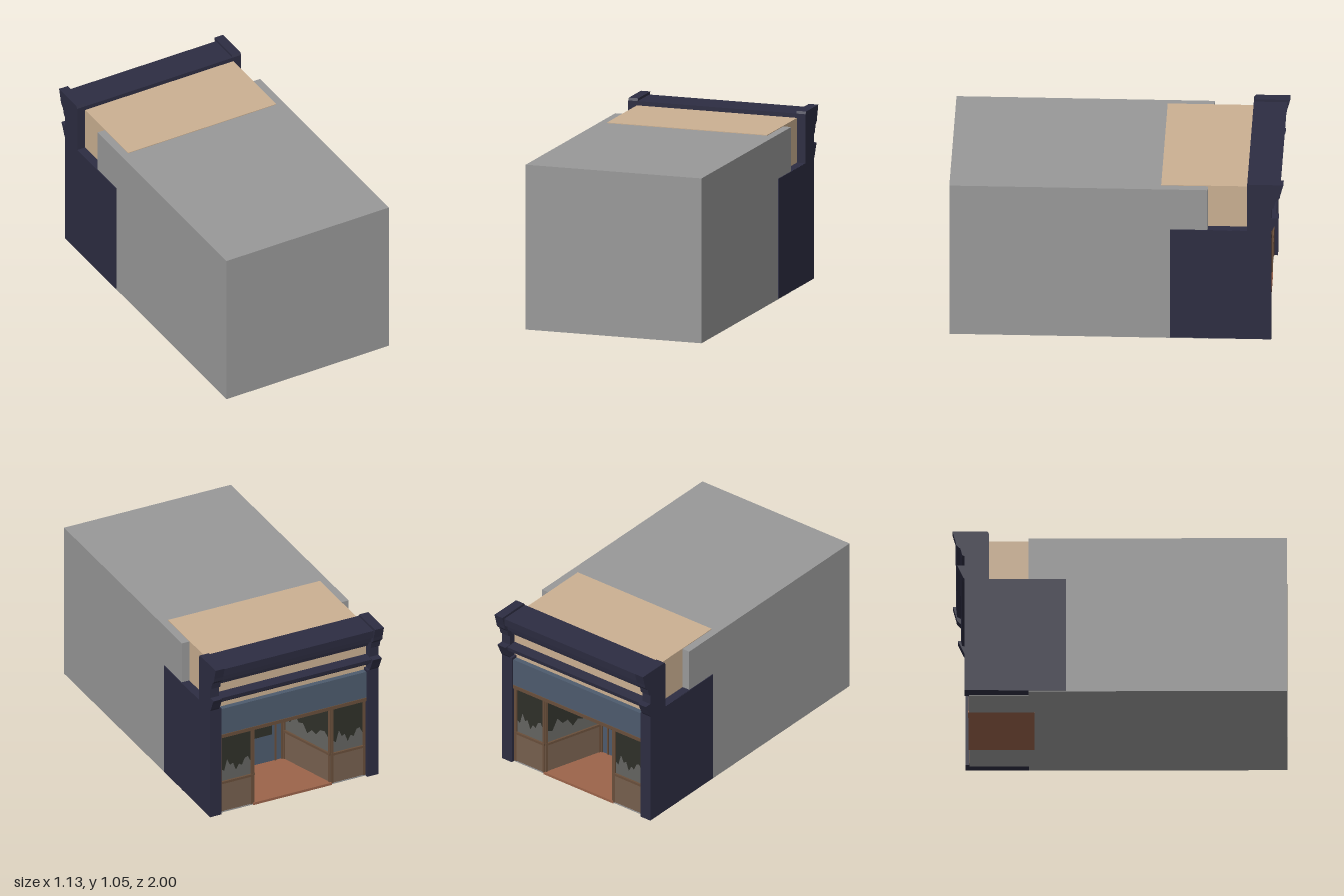
import * as THREE from 'three';

const mat = (name, color) => {
  const m = new THREE.MeshStandardMaterial({ color });
  m.name = name;
  return m;
};

export function createModel() {
  const root = new THREE.Group();
  root.name = 'shopBuilding';
  const grey = mat('bodyGrey', 0x999999);
  const navy = mat('navyPaint', 0x2d2d42);
  const cream = mat('creamRender', 0xcbb092);
  const blue = mat('fasciaBlue', 0x4d5b6e);
  const wood = mat('riserBrown', 0x765f4e);
  const trim = mat('frameBrown', 0x694f3b);
  const tile = mat('floorTerracotta', 0x9c644a);
  const glass = mat('darkGlass', 0x2f3029);
  const display = mat('displayGrey', 0x646461);

  const add = (parent, name, geo, m) => {
    const mesh = new THREE.Mesh(geo, m);
    mesh.name = name;
    parent.add(mesh);
    return mesh;
  };
  // Box given by its limits on each axis
  const box = (parent, name, m, x0, x1, y0, y1, z0, z1) => {
    const g = new THREE.BoxGeometry(x1 - x0, y1 - y0, z1 - z0);
    g.translate((x0 + x1) / 2, (y0 + y1) / 2, (z0 + z1) / 2);
    return add(parent, name, g, m);
  };
  // Side profile of [-z, y] points, extruded along x
  const profile = (name, m, pts, x0, x1) => {
    const shape = new THREE.Shape(pts.map(p => new THREE.Vector2(p[0], p[1])));
    const g = new THREE.ExtrudeGeometry(shape, { depth: x1 - x0, bevelEnabled: false });
    g.rotateY(Math.PI / 2);
    g.translate(x0, 0, 0);
    return add(root, name, g, m);
  };

  // Main building, upper storey and shop floor
  box(root, 'mainBody', grey, -0.56, 0.56, 0.002, 1.01, -0.5, 1);
  box(root, 'upperStorey', cream, -0.51, 0.51, 0.72, 1.014, -0.88, -0.265);
  box(root, 'shopFloor', grey, -0.5, 0.5, 0.002, 0.01, -0.9, -0.5);
  box(root, 'entranceFloor', tile, -0.265, 0.265, 0, 0.016, -0.905, -0.51);
  box(root, 'entranceCeiling', trim, -0.49, 0.49, 0.54, 0.56, -0.89, -0.5);

  // Side walls, pilasters and stepped brackets, mirrored
  const bracket = [
    [0.78, 0.74], [0.925, 0.74], [0.935, 0.755], [0.955, 0.80], [0.97, 0.83],
    [0.925, 0.83], [0.925, 0.89], [0.94, 0.9], [0.95, 0.94], [0.975, 0.965],
    [0.98, 0.99], [0.998, 1.055], [0.79, 1.055], [0.78, 1.04],
  ];
  for (const s of [-1, 1]) {
    const span = (name, m, a, b, ...rest) =>
      box(root, name, m, Math.min(s * a, s * b), Math.max(s * a, s * b), ...rest);
    span('bodyCheek', grey, 0.49, 0.56, 0.002, 1.01, -0.545, -0.5);
    span('sidePanel', navy, 0.556, 0.565, 0.008, 0.74, -0.925, -0.32);
    span('pilaster', navy, 0.49, 0.564, 0.006, 0.741, -0.925, -0.545);
    profile('bracket', navy, bracket, s > 0 ? 0.505 : -0.565, s > 0 ? 0.565 : -0.505);
  }

  // Fascia board and cornices
  box(root, 'fascia', blue, -0.49, 0.49, 0.545, 0.725, -0.912, -0.87);
  box(root, 'fasciaTrim', trim, -0.49, 0.49, 0.525, 0.548, -0.916, -0.87);
  profile('lowerCornice', navy,
    [[0.87, 0.77], [0.905, 0.77], [0.92, 0.79], [0.945, 0.8], [0.95, 0.825], [0.87, 0.83]], -0.51, 0.51);
  profile('upperCornice', navy,
    [[0.78, 1.0], [0.87, 1.0], [0.87, 0.9], [0.905, 0.9], [0.915, 0.935], [0.945, 0.945],
      [0.95, 0.975], [0.975, 0.99], [0.98, 1.04], [0.78, 1.04]], -0.54, 0.54);

  // Shopfront bays follow a path across the front and around the angled entrance
  const path = [[0.49, -0.895], [0.26, -0.895], [0.14, -0.51], [-0.14, -0.51], [-0.26, -0.895], [-0.49, -0.895]];
  const outline = [0.3, 0.42, 0.4, 0.27, 0.31, 0.2, 0.36, 0.33, 0.46, 0.24, 0.28];
  const base = 0.2, head = 0.54;
  for (let i = 0; i < 5; i++) {
    const [ax, az] = path[i], [bx, bz] = path[i + 1];
    const w = Math.hypot(bx - ax, bz - az);
    const bay = new THREE.Group();
    bay.name = i === 2 ? 'doorBay' : 'windowBay';
    bay.position.set(ax, 0, az);
    bay.rotation.y = Math.atan2(az - bz, bx - ax);
    root.add(bay);
    box(bay, 'frameStart', trim, 0, 0.016, 0.01, head, -0.012, 0.008);
    box(bay, 'frameEnd', trim, w - 0.016, w, 0.01, head, -0.012, 0.008);
    box(bay, 'headRail', trim, 0, w, head - 0.02, head, -0.012, 0.007);
    if (i === 2) {
      // Door with side lights
      box(bay, 'doorPanel', blue, 0.016, w - 0.016, 0.016, head, -0.01, 0);
      box(bay, 'doorGlass', glass, 0.08, w - 0.08, 0.2, 0.48, 0, 0.003);
      for (const x of [0.05, w - 0.06]) box(bay, 'doorJamb', trim, x, x + 0.01, 0.016, head, 0, 0.006);
      continue;
    }
    box(bay, 'stallRiser', wood, 0, w, 0.003, base, -0.012, 0.004);
    box(bay, 'sill', trim, 0, w, base, base + 0.015, -0.012, 0.01);
    box(bay, 'windowGlass', glass, 0.01, w - 0.01, base, head, -0.01, -0.004);
    // Uneven skyline of goods on display
    const s = new THREE.Shape();
    const x0 = 0.016, x1 = w - 0.016, h = head - base;
    s.moveTo(x0, base);
    s.lineTo(x1, base);
    outline.forEach((f, k) => s.lineTo(x1 + (x0 - x1) * k / (outline.length - 1), base + h * f));
    const goods = add(bay, 'windowDisplay', new THREE.ShapeGeometry(s), display);
    goods.position.z = -0.002;
  }
  return root;
}
